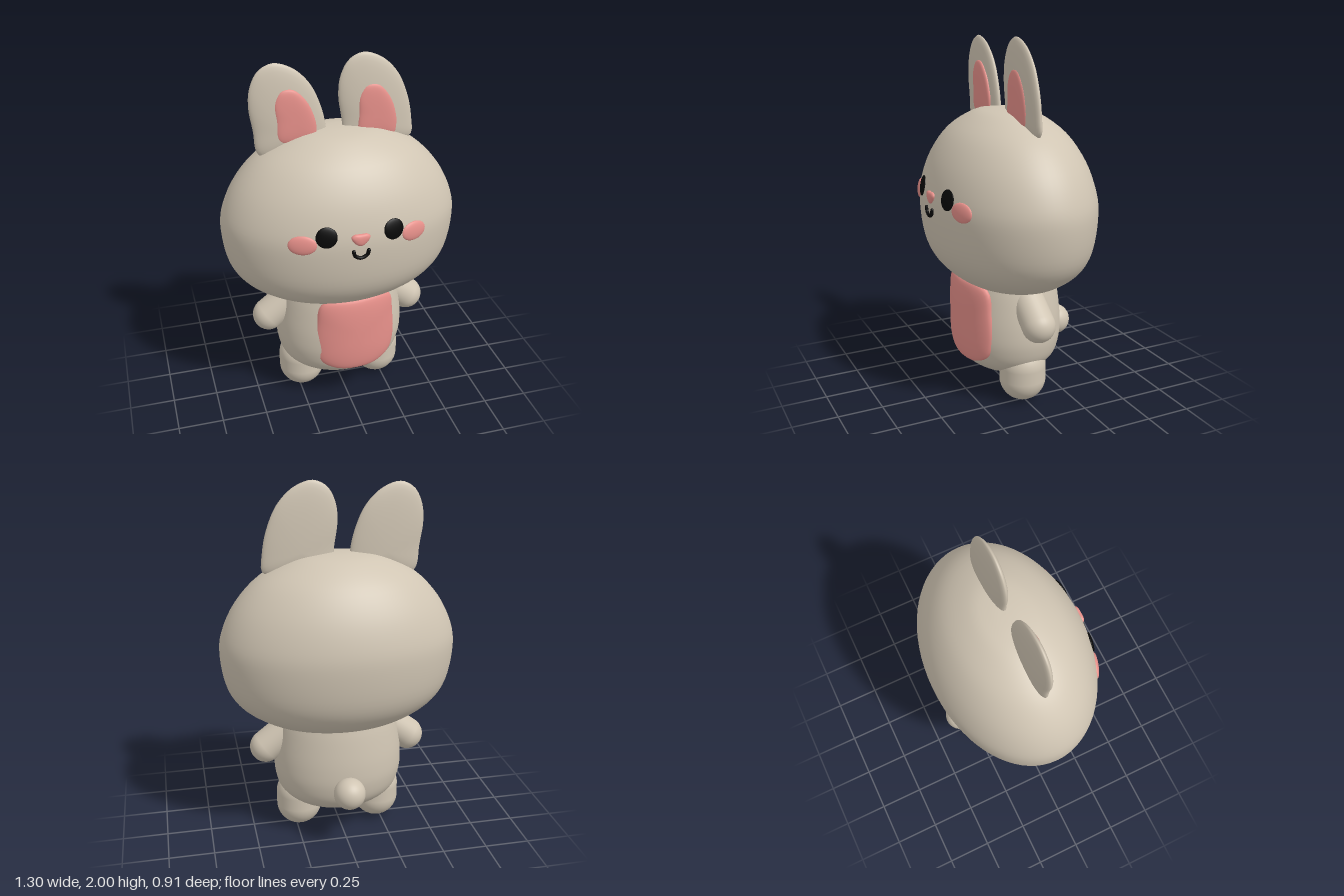
import * as THREE from 'three';
import { mergeVertices } from 'three/addons/utils/BufferGeometryUtils.js';

const mat = (name, color) => {
  const m = new THREE.MeshStandardMaterial({ color });
  m.name = name;
  return m;
};

// Body of revolution from a smooth [radius, y] profile, bottom to top
function turned(points) {
  const curve = new THREE.SplineCurve(points.map(p => new THREE.Vector2(...p)));
  const pts = curve.getPoints(48);
  pts.forEach(p => { p.x = Math.max(0, p.x); });
  return new THREE.LatheGeometry(pts, 72);
}

// Closed cushion: a smooth outline shrinking towards a centre, domed in front and behind
function pillow(outline, [cx, cy], depth, e = 2, bend = 0, rings = 20, n = 64) {
  const curve = new THREE.CatmullRomCurve3(
    outline.map(([x, y]) => new THREE.Vector3(x, y, 0)), true);
  const pts = curve.getSpacedPoints(n).slice(0, n);
  if (THREE.ShapeUtils.area(pts) < 0) pts.reverse();
  const pos = [], index = [];
  for (let i = 0; i <= rings; i++) {
    const a = Math.PI * i / rings;
    const t = Math.pow(Math.abs(Math.sin(a)), 2 / e);
    const z = i * 2 === rings ? 0 : Math.sign(Math.cos(a)) * depth * Math.pow(Math.abs(Math.cos(a)), 2 / e);
    pts.forEach((p, j) => {
      const x = cx + (p.x - cx) * t, y = cy + (p.y - cy) * t;
      pos.push(x, y, z - bend * x * x);
      if (i === rings) return;
      const k = (j + 1) % n, r = i * n, s = r + n;
      index.push(r + j, s + j, s + k, r + j, s + k, r + k);
    });
  }
  let g = new THREE.BufferGeometry();
  g.setAttribute('position', new THREE.Float32BufferAttribute(pos, 3));
  g.setIndex(index);
  g = mergeVertices(g, 1e-5);
  g.computeVertexNormals();
  return g;
}

export function createModel() {
  const group = new THREE.Group();
  const fur = mat('beige fur', 0xd0c5b3);
  const pink = mat('pink', 0xe8918b);
  const black = mat('black', 0x080808);

  const add = (name, geometry, material, x = 0, y = 0, z = 0) => {
    const m = new THREE.Mesh(geometry, material);
    m.name = name;
    m.position.set(x, y, z);
    group.add(m);
    return m;
  };

  // Head: wide and full, flat underneath
  const head = add('head', turned([
    [0, 0.655], [0.16, 0.657], [0.3, 0.664], [0.41, 0.692], [0.545, 0.78], [0.62, 0.895], [0.65, 1.07],
    [0.635, 1.2], [0.56, 1.355], [0.43, 1.493], [0.25, 1.587], [0.11, 1.615], [0, 1.62],
  ]), fur, 0, 0, -0.007);
  head.scale.z = 0.686;

  // Body: egg shape that runs up into the head
  const body = add('body', turned([
    [0, 0.12], [0.11, 0.13], [0.23, 0.167], [0.325, 0.24], [0.362, 0.34],
    [0.366, 0.45], [0.352, 0.57], [0.33, 0.68], [0.3, 0.74], [0, 0.76],
  ]), fur);
  body.scale.z = 0.815;

  // Belly patch wrapped around the front
  add('bellyPatch', pillow([
    [0.23, 0.68], [0.257, 0.55], [0.266, 0.4], [0.24, 0.3], [0.16, 0.248], [0.04, 0.235], [-0.1, 0.255],
    [-0.18, 0.31], [-0.202, 0.4], [-0.192, 0.55], [-0.16, 0.68], [0.03, 0.7],
  ], [0.035, 0.46], 0.038, 2.7, 0.9), pink, 0, 0, 0.267);

  // Ears: same form side by side, the lining slightly turned on one of them
  const earGeometry = pillow([
    [0.03, 1.54], [0.018, 1.65], [0, 1.78], [0.01, 1.88], [0.055, 1.965], [0.13, 2], [0.23, 1.968],
    [0.32, 1.88], [0.38, 1.745], [0.405, 1.62], [0.407, 1.53], [0.37, 1.505], [0.2, 1.495], [0.06, 1.505],
  ], [0.2, 1.63], 0.041);
  const liningGeometry = pillow([
    [-0.1, -0.06], [-0.105, 0.06], [-0.1, 0.15], [-0.06, 0.207], [0, 0.207], [0.06, 0.145], [0.095, 0.06],
    [0.105, -0.02], [0.09, -0.075], [0, -0.085],
  ], [0, 0.04], 0.024, 3);
  add('leftEar', earGeometry, fur, 0, 0, -0.003);
  add('rightEar', earGeometry, fur, -0.47, -0.02, -0.003);
  add('leftEarLining', liningGeometry, pink, 0.207, 1.627, 0.022);
  add('rightEarLining', liningGeometry, pink, -0.23, 1.638, 0.022).rotation.z = 0.08;

  // Limbs and face sides
  const armFrom = new THREE.Vector3(0.26, 0.63, 0), armTo = new THREE.Vector3(0.415, 0.51, 0);
  const armDir = armTo.clone().sub(armFrom);
  for (const [side, s] of [['left', 1], ['right', -1]]) {
    const arm = add(side + 'Arm', new THREE.CapsuleGeometry(0.091, armDir.length(), 16, 32), fur,
      s * (armFrom.x + armTo.x) / 2, (armFrom.y + armTo.y) / 2, 0);
    arm.rotation.z = s * Math.atan2(armDir.x, -armDir.y);
    add(side + 'Leg', new THREE.CapsuleGeometry(0.13, 0.07, 16, 32), fur, s * 0.23, 0.17, 0);

    // Thin ovals laid against the curved face
    for (const [name, x, y, z, w, h, d, m] of [
      ['Eye', 0.178, 1.192, 0.412, 0.056, 0.056, 0.012, black],
      ['Cheek', 0.297, 1.15, 0.383, 0.075, 0.052, 0.017, pink],
    ]) {
      const oval = add(side + name, new THREE.SphereGeometry(1, 32, 20), m, s * x, y, z);
      oval.lookAt(s * x + s * x / 0.42, y + (y - 1.1) / 0.23, z + z / 0.19);
      oval.scale.set(w, h, d);
    }
  }

  // Nose and smile
  add('nose', pillow([
    [-0.05, 0.018], [-0.035, 0.032], [0, 0.033], [0.035, 0.032], [0.05, 0.018], [0.03, -0.018], [0, -0.033], [-0.03, -0.018],
  ], [0, 0], 0.018, 2.5), pink, -0.004, 1.165, 0.431);
  const smile = new THREE.CatmullRomCurve3([[-0.04, 0.022], [-0.033, -0.002], [0, -0.018], [0.033, -0.002], [0.04, 0.022]]
    .map(([x, y]) => new THREE.Vector3(x, y, 0)));
  add('mouth', new THREE.TubeGeometry(smile, 24, 0.01, 10), black, -0.004, 1.085, 0.443);
  for (const s of [-1, 1]) {
    add('mouthCorner', new THREE.SphereGeometry(0.01, 12, 8), black, -0.004 + s * 0.04, 1.107, 0.443);
  }

  // Tail
  add('tail', new THREE.SphereGeometry(0.088, 32, 24), fur, 0, 0.335, -0.328);

  return group;
}
